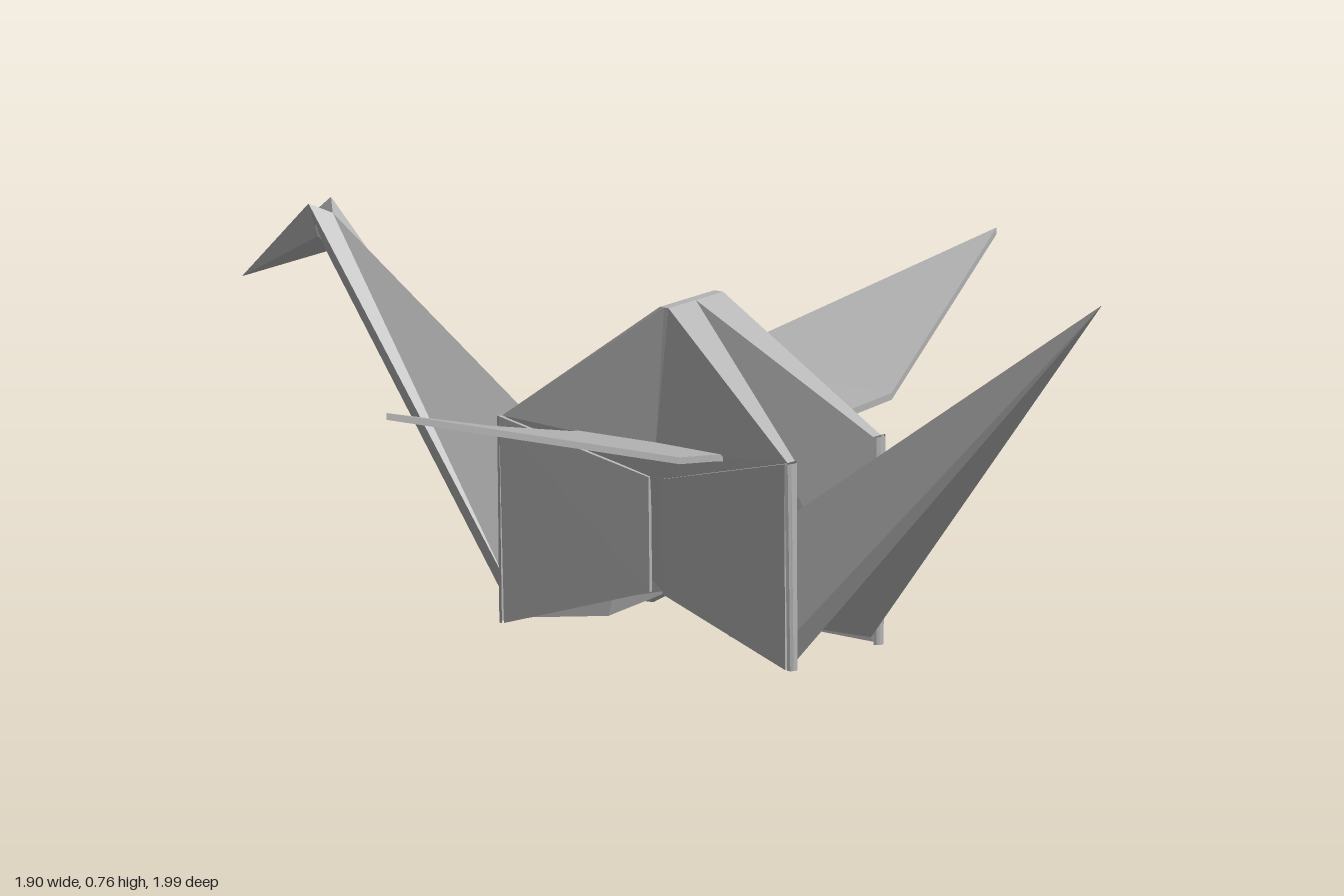
import * as THREE from 'three';

const paper = new THREE.MeshStandardMaterial({ color: 0xb4b4b4, side: THREE.DoubleSide });
paper.name = 'grey paper';

// Flat mesh from a list of convex polygons, each fanned into triangles
function sheet(name, polygons) {
  const pos = [];
  for (const p of polygons)
    for (let i = 1; i < p.length - 1; i++) pos.push(...p[0], ...p[i], ...p[i + 1]);
  const geo = new THREE.BufferGeometry();
  geo.setAttribute('position', new THREE.Float32BufferAttribute(pos, 3));
  geo.computeVertexNormals();
  const mesh = new THREE.Mesh(geo, paper);
  mesh.name = name;
  return mesh;
}

// Mirror points in x and z
const flip = (polygons, sx, sz = 1) => {
  const out = polygons.map(p => p.map(([x, y, z]) => [x * sx, y, z * sz]));
  return sx * sz < 0 ? out.map(p => p.reverse()) : out;
};

// Closed plate: an outline and its copy moved by an offset, joined by a rim
function plate(outline, offset) {
  const back = outline.map(p => p.map((v, i) => v + offset[i]));
  const n = outline.length;
  const rim = outline.map((p, i) => [p, back[i], back[(i + 1) % n], outline[(i + 1) % n]]);
  return [outline, [...back].reverse(), ...rim];
}

// Creased spike for tail and neck: ridge above, hollow below, narrow folded rim
function spike(name, ridgeTip, sideTip, lowTip, sz) {
  const group = new THREE.Group();
  group.name = name;
  const root = [0, 0.1, 0], belly = [0.07, 0.03, 0.14];
  const low = [0.115, 0.02, 0.33], side = [0.125, 0.07, 0.33];
  const half = [
    [ridgeTip, sideTip, side], [ridgeTip, side, root],
    [sideTip, lowTip, low, side],
    [ridgeTip, root, belly], [ridgeTip, belly, low, lowTip],
  ];
  for (const sx of [1, -1]) group.add(sheet(name + 'Half', flip(half, sx, sz)));
  return group;
}

export function createModel() {
  const model = new THREE.Group();
  model.name = 'foldedPaperBird';
  const body = new THREE.Group();
  body.name = 'bird';
  body.position.z = 0.04;
  model.add(body);

  // Tail and neck
  const tailTip = [0, 0.76, 0.95];
  body.add(spike('tail', tailTip, tailTip, tailTip, 1));
  body.add(spike('neck', [0, 0.69, 0.83], [0.035, 0.71, 0.86], [0.03, 0.635, 0.83], -1));

  // Beak: short cone with a creased top
  const tip = [0, 0.54, -1.04];
  const ring = [[0, 0.69, -0.83], [0.035, 0.71, -0.86], [0.033, 0.65, -0.84],
    [0, 0.62, -0.83], [-0.033, 0.65, -0.84], [-0.035, 0.71, -0.86]];
  body.add(sheet('beak', ring.map((p, i) => [p, ring[(i + 1) % 6], tip])));

  // Flat ridge on top of the back
  body.add(sheet('backRidge', [
    [[-0.085, 0.64, 0.01], [0.085, 0.64, 0.01], [0.085, 0.64, -0.01], [-0.085, 0.64, -0.01]]]));

  for (const sx of [1, -1]) {
    for (const sz of [1, -1]) {
      // Sloping strip of the back, folded from ridge to corner
      body.add(sheet('backStrip', flip([
        [[0, 0.64, 0.01], [0.122, 0.4, 0.33], [0.145, 0.4, 0.33], [0.085, 0.64, 0.01]]], sx, sz)));

      // Valley wall between ridge, corner and base
      body.add(sheet('valleyWall', flip([
        [[0, 0.64, 0.01], [0, 0.1, 0], [0.07, 0.03, 0.14], [0.122, 0.01, 0.33], [0.122, 0.4, 0.33]]], sx, sz)));

      // Side of the back
      body.add(sheet('backSide', flip([
        [[0.085, 0.64, 0], [0.085, 0.64, 0.01], [0.145, 0.4, 0.33], [0.112, 0.375, 0]]], sx, sz)));

      // Inner layer behind the flap
      body.add(sheet('innerSide', flip([
        [[0.135, 0.4, 0.33], [0.128, 0.02, 0.33], [0.09, 0.1, 0], [0.112, 0.375, 0]]], sx, sz)));

      // Outer flap of the body
      body.add(sheet('sideFlap', flip(plate([
        [0.155, 0.4, 0.33], [0.146, 0.005, 0.325], [0.11, 0.1, 0.015], [0.114, 0.32, 0.015]],
      [-0.008, 0, 0]), sx, sz)));

      // Rounded fold joining the flap to the valley wall
      const fold = [];
      const at = (i, y) => {
        const a = Math.PI * i / 6, mid = y > 0.2 ? 0.1385 : 0.134;
        const r = y > 0.2 ? 0.0165 : 0.012;
        return [mid + r * Math.cos(a), y, 0.33 + 0.012 * Math.sin(a)];
      };
      for (let i = 0; i < 6; i++)
        fold.push([at(i, 0.4), at(i, 0.004), at(i + 1, 0.004), at(i + 1, 0.4)]);
      body.add(sheet('cornerFold', flip(fold, sx, sz)));
    }

    // Wing: inner part and rising outer part
    const t = [0, -0.013, 0];
    const wing = [
      ...plate([[0.095, 0.385, 0.165], [0.155, 0.395, 0.165], [0.155, 0.395, -0.165], [0.095, 0.385, -0.165]], t),
      ...plate([[0.155, 0.395, 0.165], [0.33, 0.43, 0.218], [0.33, 0.43, -0.218], [0.155, 0.395, -0.165]], t),
      ...plate([[0.33, 0.43, 0.218], [0.95, 0.6, 0], [0.33, 0.43, -0.218]], t),
    ];
    body.add(sheet(sx > 0 ? 'leftWing' : 'rightWing', flip(wing, sx)));
  }
  return model;
}
